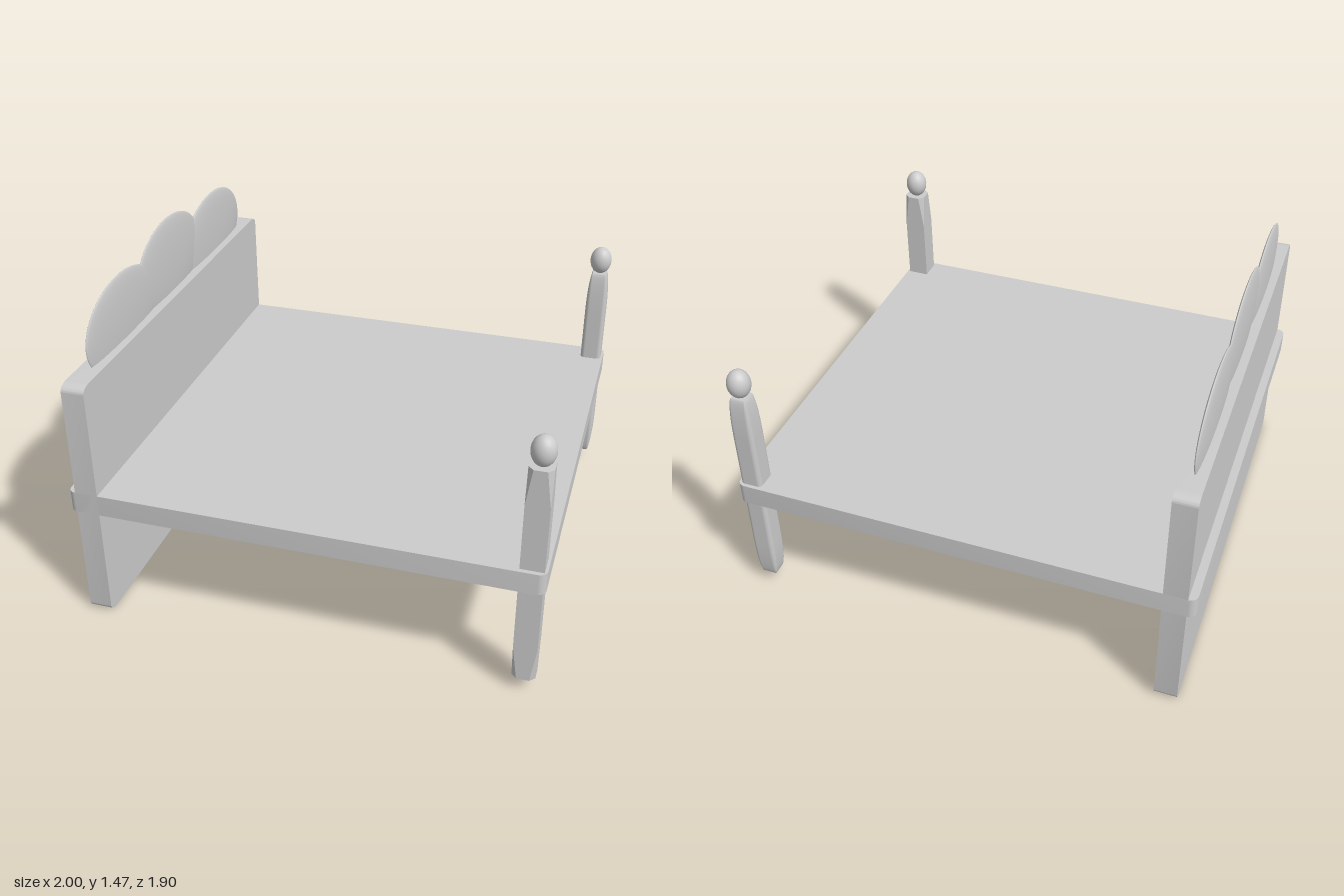
import * as THREE from 'three';
import { RoundedBoxGeometry } from 'three/addons/geometries/RoundedBoxGeometry.js';
import { ConvexGeometry } from 'three/addons/geometries/ConvexGeometry.js';
import { toCreasedNormals } from 'three/addons/utils/BufferGeometryUtils.js';

// Flat board with elliptically rounded corners, centred, extruded along z
function roundedBoard(w, h, depth, rx, ry) {
  const x = w / 2, y = h / 2;
  const s = new THREE.Shape();
  s.absellipse(x - rx, y - ry, rx, ry, 0, Math.PI / 2);
  s.absellipse(-x + rx, y - ry, rx, ry, Math.PI / 2, Math.PI);
  s.absellipse(-x + rx, -y + ry, rx, ry, Math.PI, Math.PI * 1.5);
  s.absellipse(x - rx, -y + ry, rx, ry, Math.PI * 1.5, Math.PI * 2);
  s.closePath();
  const g = new THREE.ExtrudeGeometry(s, { depth, bevelEnabled: false, curveSegments: 6 });
  g.translate(0, 0, -depth / 2);
  return toCreasedNormals(g, 0.6);
}

// Tall box whose eight corners are sliced off by long facets
function cutCornerPost(w, h, cutW, cutH) {
  const points = [];
  for (const sx of [-1, 1]) for (const sy of [-1, 1]) for (const sz of [-1, 1]) {
    const x = w / 2, y = h / 2, z = w / 2;
    points.push(
      new THREE.Vector3(sx * (x - cutW), sy * y, sz * z),
      new THREE.Vector3(sx * x, sy * (y - cutH), sz * z),
      new THREE.Vector3(sx * x, sy * y, sz * (z - cutW)));
  }
  return new ConvexGeometry(points);
}

export function createModel() {
  const group = new THREE.Group();
  const paint = new THREE.MeshStandardMaterial({ color: 0xcccccc });
  paint.name = 'lightGrey';

  const add = (name, geometry, x, y, z) => {
    const mesh = new THREE.Mesh(geometry, paint);
    mesh.name = name;
    mesh.position.set(x, y, z);
    group.add(mesh);
    return mesh;
  };

  // Bed platform
  const platform = roundedBoard(2, 1.9, 0.095, 0.035, 0.035);
  platform.rotateX(-Math.PI / 2);
  add('platform', platform, 0, 0.563, 0);

  // Headboard panel reaching the floor
  const panel = roundedBoard(1.9, 1.12, 0.1, 0.05, 0.03);
  panel.rotateY(Math.PI / 2);
  add('headboard', panel, -0.915, 0.56, 0);

  // Scalloped crest of three thin lobes
  const lobe = new THREE.SphereGeometry(1, 48, 32);
  for (const [name, y, z, ry] of [
    ['crestLobeLeft', 1.2, 0.475, 0.203],
    ['crestLobeMiddle', 1.255, -0.01, 0.21],
    ['crestLobeRight', 1.2, -0.505, 0.203],
  ]) {
    add(name, lobe, -0.915, y, z).scale.set(0.018, ry, 0.33);
  }

  // Foot posts: one with sliced corners, one softly rounded
  const rounded = new RoundedBoxGeometry(1, 1, 1, 4, 0.2);
  rounded.scale(0.097, 1, 0.097);
  const posts = [
    ['Front', cutCornerPost(0.097, 1, 0.022, 0.16), 0.883],
    ['Back', rounded, -0.886],
  ];
  const ball = new THREE.SphereGeometry(0.05, 24, 16);
  for (const [side, geometry, z] of posts) {
    add('footPost' + side, geometry, 0.94, 0.562, z);
    add('finial' + side, ball, 0.94, 1.122, z).scale.y = 1.3;
  }

  return group;
}
